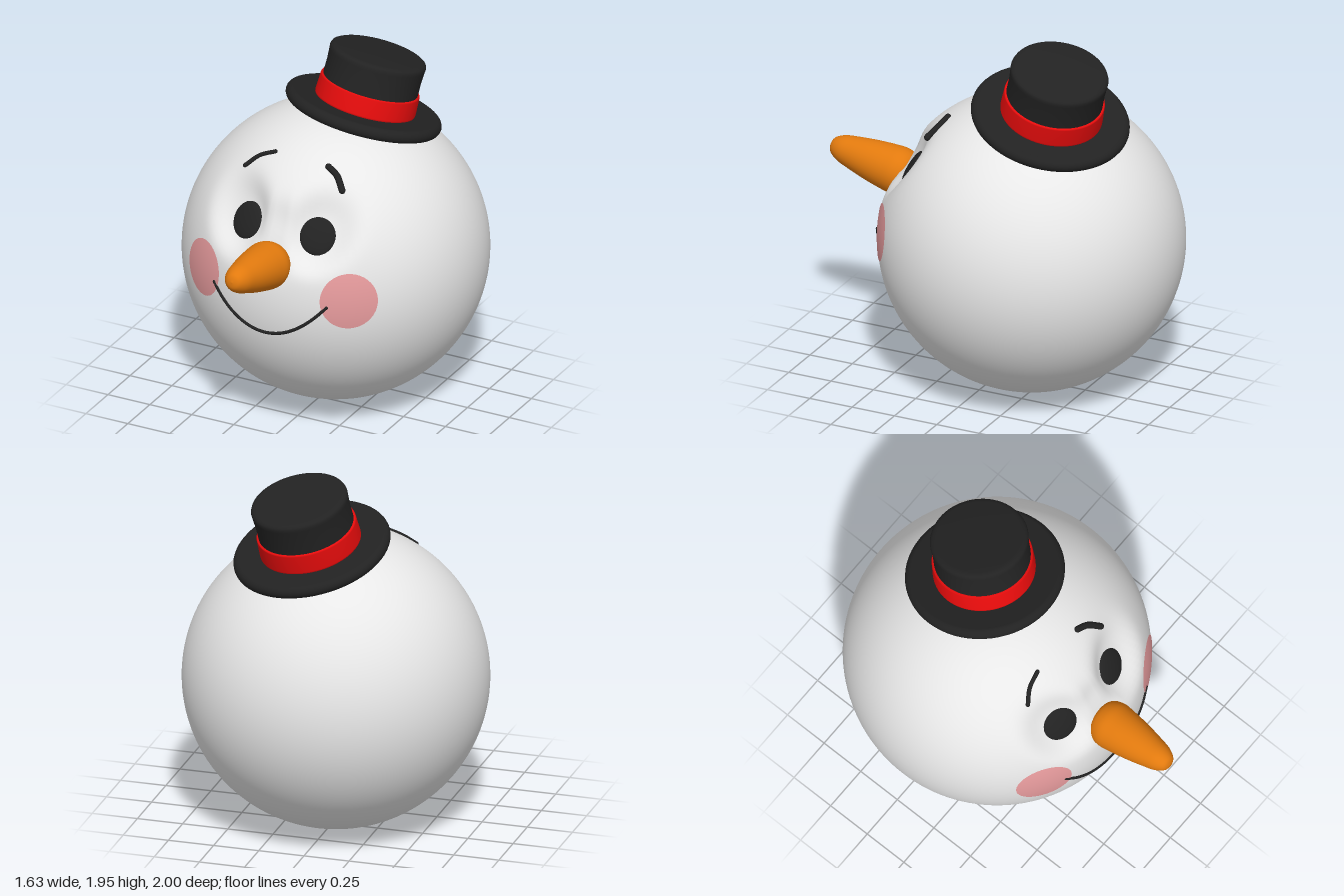
import * as THREE from 'three';
import { mergeVertices } from 'three/addons/utils/BufferGeometryUtils.js';

const R = 0.815;
const CENTER = new THREE.Vector3(0, R, -0.185);
const V2 = (p) => p.map(([x, y]) => new THREE.Vector2(x, y));
const mat = (name, color) => {
  const m = new THREE.MeshStandardMaterial({ color });
  m.name = name;
  return m;
};

// Depth of the eye sockets and nose bridge, by position on the front of the ball
function dent(x, y) {
  const bump = (cx, cy, depth, w) => depth * Math.exp(-((Math.hypot(x - cx, y - cy) / w) ** 4));
  return Math.max(bump(0.23, 1.225, 0.08, 0.17), bump(-0.23, 1.225, 0.08, 0.17), bump(0, 1.18, 0.045, 0.16));
}

// Point on the front of the ball, raised by an offset
function onFace(x, y, offset = 0) {
  const z = Math.sqrt(R * R - x * x - (y - R) ** 2);
  return new THREE.Vector3(x, y - R, z).setLength(R + offset).add(CENTER);
}

export function createModel() {
  const group = new THREE.Group();
  const white = mat('snow white', 0xeeeeee);
  const black = mat('soft black', 0x222222);
  const red = mat('ribbon red', 0xe60c0c);
  const orange = mat('carrot orange', 0xe27a0e);
  const pink = mat('cheek pink', 0xe59a9c);

  const add = (name, geometry, material, parent = group) => {
    const mesh = new THREE.Mesh(geometry, material);
    mesh.name = name;
    parent.add(mesh);
    return mesh;
  };

  // Ball head with pressed-in eye sockets
  let ball = new THREE.SphereGeometry(R, 128, 96);
  ball.deleteAttribute('uv');
  ball.deleteAttribute('normal');
  ball = mergeVertices(ball);
  const pos = ball.attributes.position;
  const v = new THREE.Vector3();
  for (let i = 0; i < pos.count; i++) {
    v.fromBufferAttribute(pos, i);
    if (v.z > 0) v.setLength(R - dent(v.x, v.y + R));
    pos.setXYZ(i, v.x, v.y, v.z);
  }
  ball.computeVertexNormals();
  add('snowHead', ball, white).position.copy(CENTER);

  // Eyes and cheeks, mirrored
  const zAxis = new THREE.Vector3(0, 0, 1);
  const yAxis = new THREE.Vector3(0, 1, 0);
  for (const [side, s] of [['left', 1], ['right', -1]]) {
    const dir = onFace(0.23 * s, 1.225).sub(CENTER).normalize();
    const eye = add(side + 'Eye', new THREE.SphereGeometry(1, 32, 20), black);
    eye.scale.set(0.096, 0.102, 0.024);
    eye.quaternion.setFromUnitVectors(zAxis, dir);
    eye.position.copy(dir).multiplyScalar(R - 0.078).add(CENTER);

    const cheekDir = onFace(0.437 * s, 0.888).sub(CENTER).normalize();
    const cap = new THREE.SphereGeometry(R + 0.004, 40, 10, 0, Math.PI * 2, 0, 0.19);
    const cheek = add(side + 'Cheek', cap, pink);
    cheek.quaternion.setFromUnitVectors(yAxis, cheekDir);
    cheek.position.copy(CENTER);
  }

  // Eyebrows and smile: tubes laid along the ball, with round ends
  const stroke = (name, points, radius, offset) => {
    const part = new THREE.Group();
    part.name = name;
    group.add(part);
    const path = points.map(([x, y]) => onFace(x, y, offset));
    add(name + 'Line', new THREE.TubeGeometry(new THREE.CatmullRomCurve3(path), 48, radius, 10), black, part);
    for (const end of [path[0], path[path.length - 1]]) {
      add(name + 'End', new THREE.SphereGeometry(radius, 10, 8), black, part).position.copy(end);
    }
  };
  stroke('rightBrow', [[-0.3, 1.42], [-0.235, 1.475], [-0.15, 1.51]], 0.012, 0.003);
  stroke('leftBrow', [[0.17, 1.5], [0.23, 1.47], [0.285, 1.415]], 0.018, 0.003);
  const smile = [];
  for (let i = -6; i <= 6; i++) {
    const x = (i / 6) * 0.333;
    smile.push([x, 0.66 + 0.195 * (Math.abs(i) / 6) ** 2]);
  }
  stroke('smile', smile, 0.009, 0.002);

  // Carrot nose
  const nose = add('carrotNose', new THREE.LatheGeometry(new THREE.SplineCurve(V2([
    [0, -0.04], [0.095, -0.03], [0.128, 0.03], [0.124, 0.11], [0.108, 0.22],
    [0.088, 0.32], [0.07, 0.39], [0.04, 0.437], [0, 0.45],
  ])).getPoints(48).map((p) => (p.x < 0 ? p.setX(0) : p)), 40), orange);
  nose.position.set(0, 1.04, 0.557);
  nose.quaternion.setFromUnitVectors(yAxis, new THREE.Vector3(0, 0.19, 1).normalize());

  // Tilted top hat
  const hat = new THREE.Group();
  hat.name = 'topHat';
  hat.position.set(0.085, 1.575, -0.337);
  hat.quaternion.setFromUnitVectors(yAxis, new THREE.Vector3(0.16, 1, -0.27).normalize());
  group.add(hat);

  const brim = [[0, -0.03], [0.38, -0.032]];
  for (let i = 0; i <= 10; i++) {
    const a = -Math.PI / 2 + (i / 10) * Math.PI;
    brim.push([0.39 + 0.035 * Math.cos(a), 0.035 * Math.sin(a)]);
  }
  brim.push([0.36, 0.032], [0, 0.03]);
  add('hatBrim', new THREE.LatheGeometry(V2(brim), 64), black, hat);
  add('hatCrown', new THREE.LatheGeometry(V2([
    [0.262, 0.02], [0.258, 0.14], [0.257, 0.22], [0.261, 0.285], [0.262, 0.3],
    [0.257, 0.312], [0.245, 0.319], [0.23, 0.321], [0.12, 0.326], [0, 0.327],
  ]), 64), black, hat);
  add('hatBand', new THREE.LatheGeometry(V2([
    [0.255, 0.025], [0.272, 0.025], [0.274, 0.04], [0.27, 0.135], [0.267, 0.142], [0.255, 0.143],
  ]), 64), red, hat);

  return group;
}
